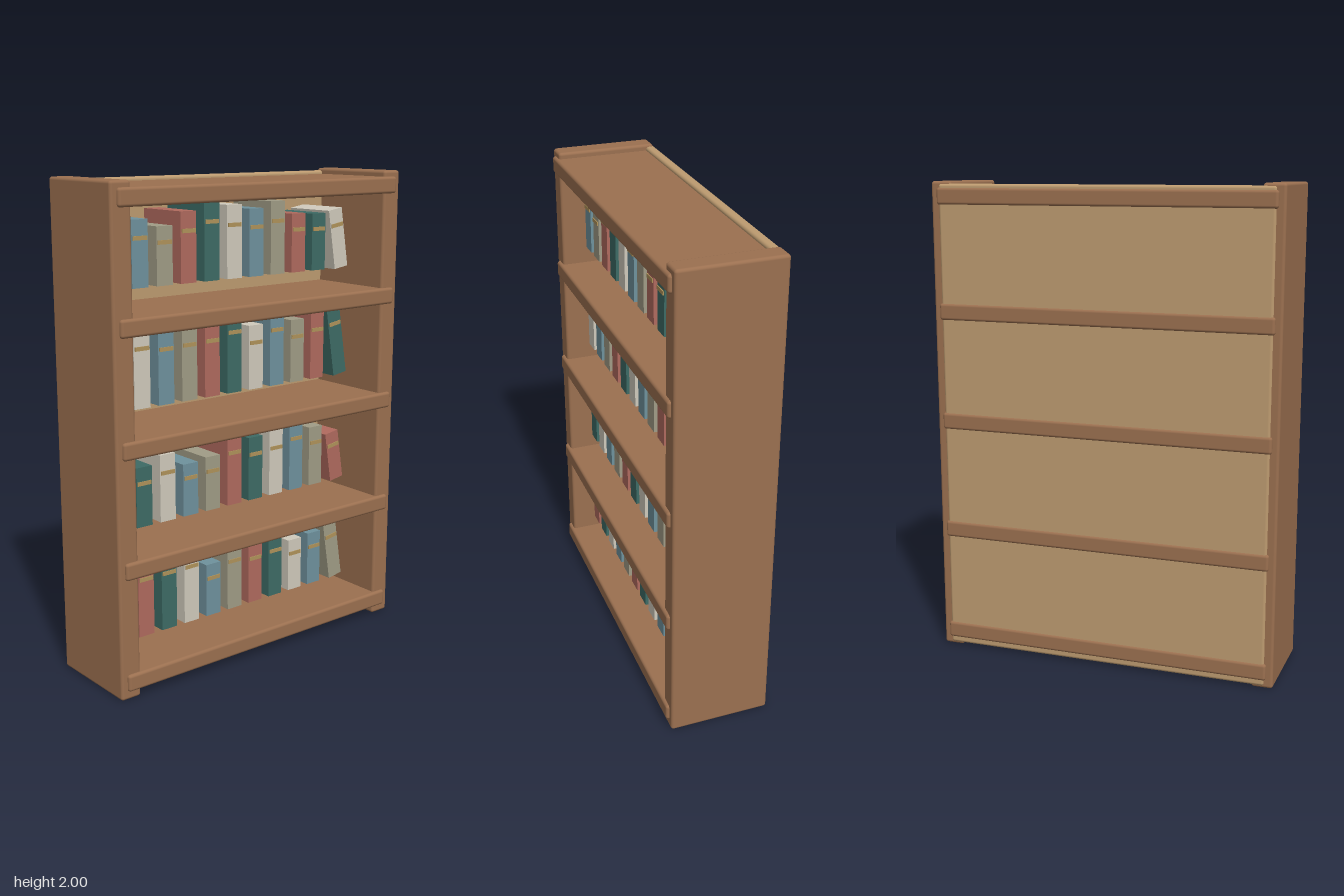
import * as THREE from 'three';
import { RoundedBoxGeometry } from 'three/addons/geometries/RoundedBoxGeometry.js';

const material = (color) => new THREE.MeshStandardMaterial({ color });
const wood = material(0x9b7050);
const panelWood = material(0xbd9b70);
const gold = material(0xb0935a);
// red, teal, cream, blue, sage
const covers = [0xb06a5e, 0x3d6b65, 0xd0cabc, 0x6f929d, 0xa09c86].map(material);

const SHELF_Y = [0.07, 0.53, 1.005, 1.468, 1.94];
const BOOK_HEIGHTS = [
  [0.33, 0.33, 0.33, 0.225, 0.29, 0.27, 0.28, 0.23, 0.237, 0.27],
  [0.243, 0.275, 0.217, 0.227, 0.305, 0.27, 0.28, 0.31, 0.26, 0.22],
  [0.32, 0.3, 0.305, 0.31, 0.34, 0.265, 0.32, 0.265, 0.288, 0.31],
  [0.255, 0.225, 0.275, 0.315, 0.29, 0.27, 0.295, 0.24, 0.235, 0.25],
];
const BOOK_WIDTH = 0.074;
const BOOK_DEPTH = 0.24;

// Board with softly rounded edges
function board(name, w, h, d, x, y, z, mat) {
  const mesh = new THREE.Mesh(new RoundedBoxGeometry(w, h, d, 3, 0.012), mat);
  mesh.name = name;
  mesh.position.set(x, y, z);
  return mesh;
}

// Book with a gold band across its spine
function book(height, cover) {
  const group = new THREE.Group();
  group.name = 'book';
  const body = new THREE.Mesh(new THREE.BoxGeometry(BOOK_WIDTH, height, BOOK_DEPTH), cover);
  body.name = 'bookBody';
  const band = new THREE.Mesh(new THREE.BoxGeometry(0.064, 0.016, 0.006), gold);
  band.name = 'spineBand';
  band.position.set(0, height * 0.23, BOOK_DEPTH / 2 + 0.001);
  group.add(body, band);
  return group;
}

export function createModel() {
  const model = new THREE.Group();
  model.name = 'bookcase';

  // Upright sides
  for (const s of [-1, 1]) {
    model.add(board(s > 0 ? 'leftSide' : 'rightSide', 0.09, 2, 0.42, s * 0.69, 1, 0, wood));
  }

  // Back panel
  model.add(board('backPanel', 1.4, 1.98, 0.04, 0, 1, -0.197, panelWood));

  // Shelves
  for (const y of SHELF_Y) model.add(board('shelf', 1.415, 0.07, 0.446, 0, y, 0, wood));

  // Rows of books, the last of each row leaning
  BOOK_HEIGHTS.forEach((heights, row) => {
    const group = new THREE.Group();
    group.name = 'bookRow';
    group.position.y = SHELF_Y[row] + 0.128;
    heights.forEach((height, i) => {
      const item = book(height, covers[(row + i) % covers.length]);
      item.position.set(-0.55 + i * 0.113, height / 2, 0);
      if (i === heights.length - 1) item.rotation.z = 0.16;
      group.add(item);
    });
    model.add(group);
  });

  return model;
}
